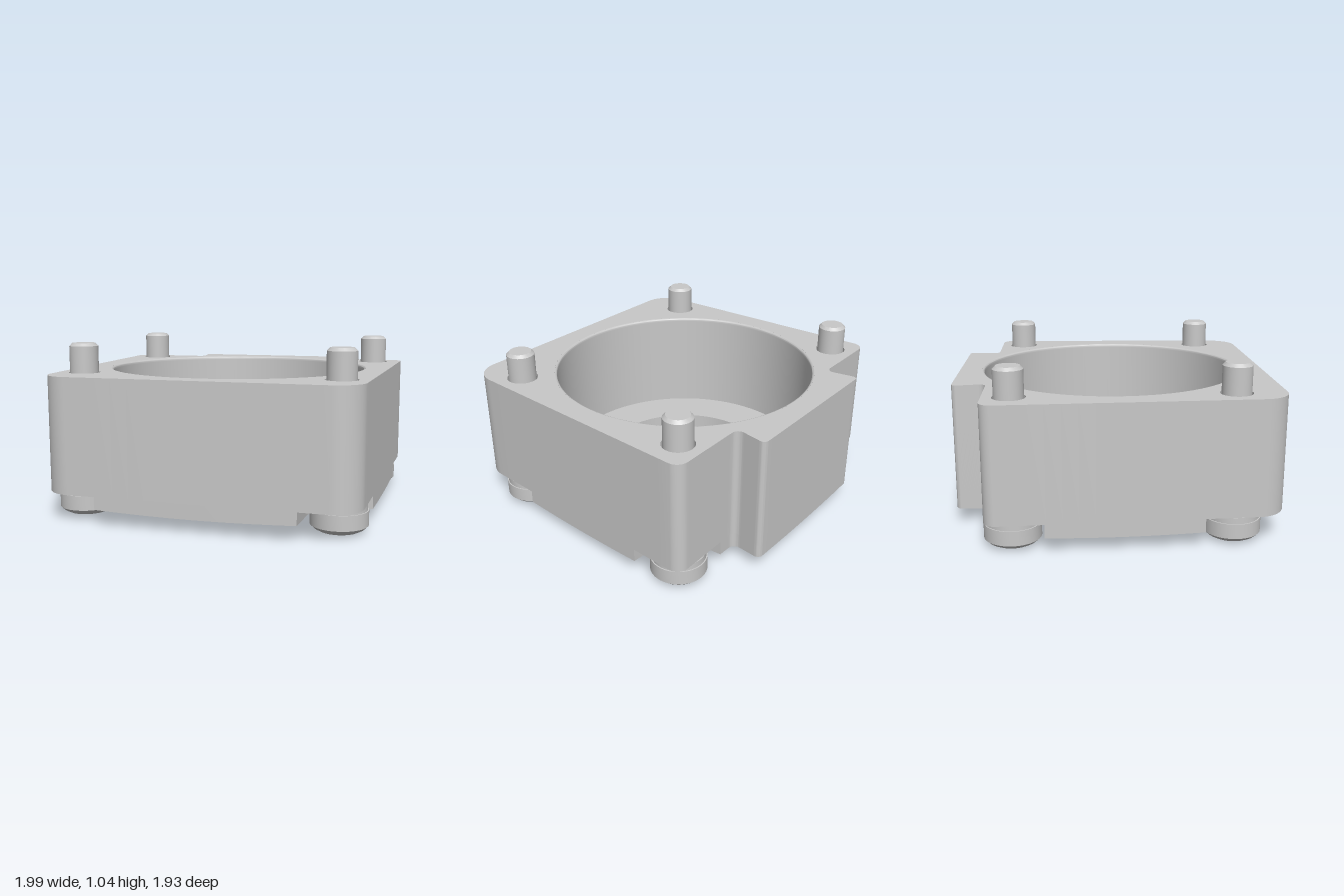
import * as THREE from 'three';
import { toCreasedNormals, mergeGeometries } from 'three/addons/utils/BufferGeometryUtils.js';

const TOP = 0.86, POCKET = 0.17, FLOOR = 0.2, UNDER = 0.043, BORE = 0.83, HOLE = 0.54;
const SCREWS = [[0.812, -0.607], [-0.812, -0.607], [0.78, 0.67], [-0.78, 0.67]];

// Closed plan outline from right-hand corners [x, z, radius], mirrored to the left
function outline(right) {
  const corners = [...right.map(([x, z, r]) => [-x, z, r]), ...[...right].reverse()];
  const n = corners.length, arcs = [];
  corners.forEach(([x, z, r], i) => {
    const p = new THREE.Vector2(x, -z);
    if (!r) { arcs.push([p]); return; }
    const toward = ([qx, qz]) => new THREE.Vector2(qx, -qz).sub(p).normalize();
    const a = toward(corners[(i + n - 1) % n]), b = toward(corners[(i + 1) % n]);
    const half = Math.acos(a.dot(b)) / 2;
    const c = a.clone().add(b).normalize().multiplyScalar(r / Math.sin(half)).add(p);
    const s = a.multiplyScalar(r / Math.tan(half)).add(p).sub(c);
    const e = b.multiplyScalar(r / Math.tan(half)).add(p).sub(c);
    arcs.push(Array.from({ length: 11 }, (_, k) => s.clone().lerp(e, k / 10).setLength(r).add(c)));
  });
  // Straight runs are subdivided so the underside can follow its cone
  const pts = [];
  arcs.forEach((arc, i) => {
    pts.push(...arc);
    const from = arc[arc.length - 1], to = arcs[(i + 1) % n][0];
    for (let k = 1; k < 16; k++) pts.push(from.clone().lerp(to, k / 16));
  });
  return pts;
}

const circle = (x, z, r) => new THREE.Path().absarc(x, -z, r, 0, Math.PI * 2, true);

// Extrudes a plan shape upward from y0 to y1
function slab(shape, y0, y1, curveSegments = 48) {
  const g = new THREE.ExtrudeGeometry(shape, { depth: y1 - y0, bevelEnabled: false, curveSegments });
  return g.rotateX(-Math.PI / 2).translate(0, y0, 0);
}

function lathe(points, segments) {
  return new THREE.LatheGeometry(points.map(([r, y]) => new THREE.Vector2(r, y)), segments);
}

// Joins closed loops of [x, y, z] points, listed from the top down
function loft(loops) {
  const n = loops[0].length, index = [];
  for (let j = 0; j < loops.length - 1; j++) {
    for (let i = 0; i < n; i++) {
      const k = (i + 1) % n;
      const a = j * n + i, b = a + n, c = (j + 1) * n + k, d = j * n + k;
      index.push(a, b, c, a, c, d);
    }
  }
  const g = new THREE.BufferGeometry();
  g.setAttribute('position', new THREE.Float32BufferAttribute(loops.flat(2), 3));
  g.setIndex(index);
  return g;
}

export function createModel() {
  const metal = new THREE.MeshStandardMaterial({ color: 0xc8c8c8 });
  metal.name = 'grey metal';
  const model = new THREE.Group();
  model.name = 'flangeHousing';
  const add = (name, geometry, parent = model) => {
    const mesh = new THREE.Mesh(toCreasedNormals(geometry, 0.55), metal);
    mesh.name = name;
    parent.add(mesh);
  };

  // Main block with the rear tab, the bore and four screw holes
  const tab = [[0.523, -0.967, 0.03], [0.487, -0.763, 0.04]];
  const block = new THREE.Shape(outline([...tab, [1, -0.763, 0.07], [0.93, 0.965, 0.17]]));
  block.holes.push(circle(0, 0, BORE), ...SCREWS.map(([x, z]) => circle(x, z, 0.095)));
  add('housingBlock', slab(block, POCKET, TOP, 96));

  // Base with rounded corner pockets and a shallow conical underside
  const base = outline([
    ...tab,
    [0.62, -0.763, 0], [0.62, -0.42, 0.19], [0.986, -0.42, 0],
    [0.949, 0.49, 0], [0.595, 0.49, 0.19], [0.595, 0.965, 0],
  ]);
  add('housingBase', loft([
    base.map((p) => [p.x, POCKET, -p.y]),
    base.map((p) => [p.x, UNDER + 0.087 * (p.length() - HOLE), -p.y]),
    base.map((p) => [p.x * HOLE / p.length(), UNDER, -p.y * HOLE / p.length()]),
  ]));

  // Bore lining: rounded rim, wall, floor and through hole
  const rim = Array.from({ length: 7 }, (_, i) => {
    const a = i / 6 * Math.PI / 2;
    return [BORE - 0.014 * Math.sin(a), TOP - 0.014 * (1 - Math.cos(a))];
  });
  add('bore', lathe([
    ...rim, [BORE - 0.014, TOP - 0.02], [BORE - 0.014, FLOOR], [HOLE, FLOOR], [HOLE, UNDER],
  ], 96));

  // Screw: domed head with a stepped collar, and chamfered shank
  const screwGeometry = lathe([
    [0.09, 0], [0.12, 0.008], [0.146, 0.022], [0.167, 0.042], [0.167, 0.13], [0.16, 0.13],
    [0.16, 0.167], [0.086, 0.167], [0.086, 1.02], [0.068, 1.038], [0, 1.038],
  ], 48);

  // Six-lobed drive recess in the head
  const face = new THREE.Shape().absarc(0, 0, 0.09, 0, Math.PI * 2, false);
  const lobes = Array.from({ length: 60 }, (_, i) => {
    const a = -i / 60 * Math.PI * 2, r = 0.064 + 0.012 * Math.cos(6 * a);
    return new THREE.Vector2(r * Math.cos(a), r * Math.sin(a));
  });
  face.holes.push(new THREE.Path(lobes));
  const recessFloor = new THREE.CircleGeometry(0.08, 32).rotateX(Math.PI / 2).translate(0, 0.06, 0);
  const driveGeometry = mergeGeometries([slab(face, 0, 0.065, 48), recessFloor.toNonIndexed()]);

  SCREWS.forEach(([x, z]) => {
    const screw = new THREE.Group();
    screw.name = 'screw';
    screw.position.set(x, 0, z);
    add('screwBody', screwGeometry, screw);
    add('screwDrive', driveGeometry, screw);
    model.add(screw);
  });

  return model;
}
